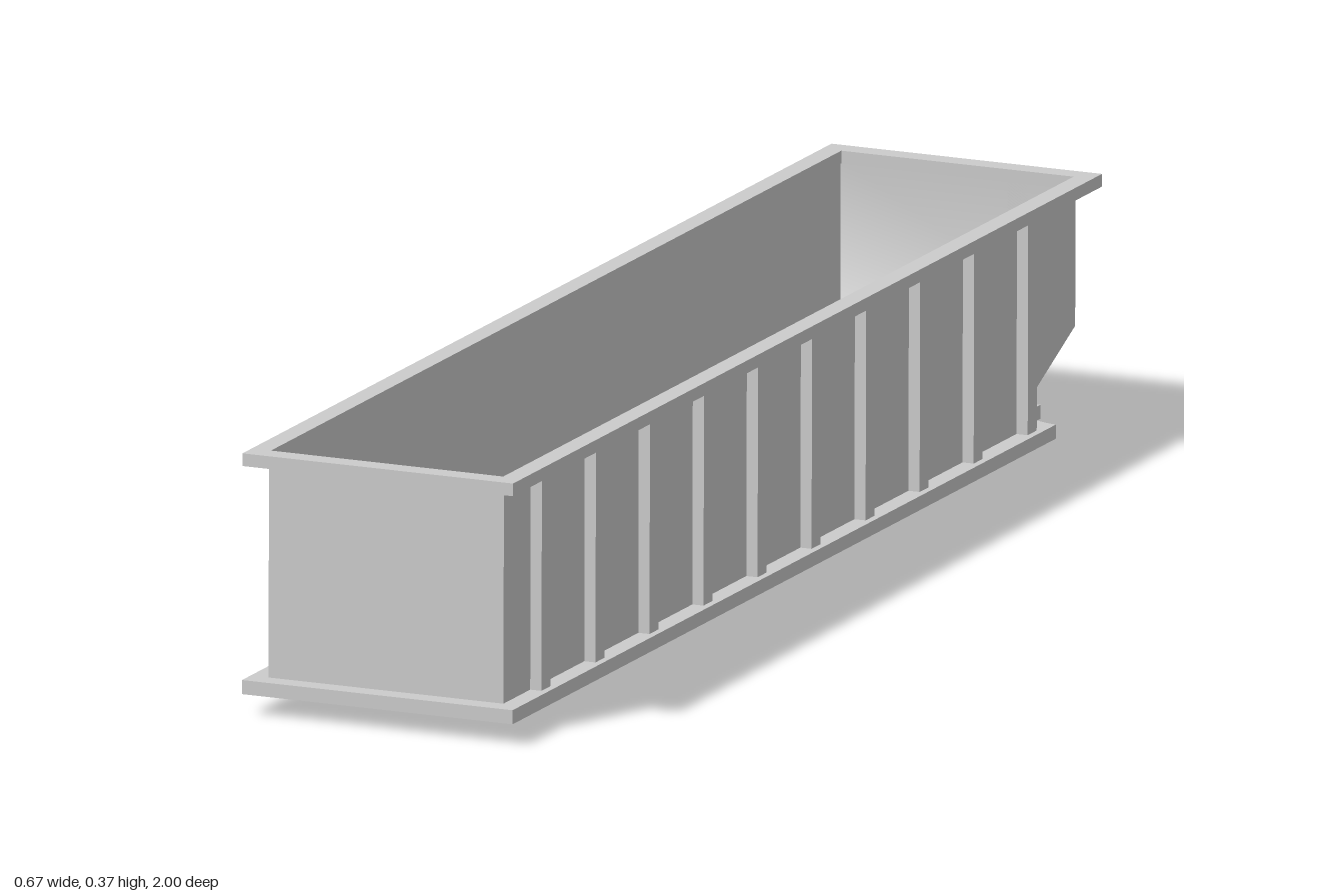
import * as THREE from 'three';

const grey = new THREE.MeshStandardMaterial({ color: 0xcccccc });
const sheet = new THREE.MeshStandardMaterial({ color: 0xcccccc, side: THREE.DoubleSide });

const HULL_X = 0.178, HULL_Z = 0.95;   // half sizes of the tub
const FLOOR = 0.045, WALL_TOP = 0.355, RIM_BOTTOM = 0.349;

export function createModel() {
  const group = new THREE.Group();
  const body = new THREE.Group();
  body.name = 'container';

  const add = (name, geometry, material = grey) => {
    const mesh = new THREE.Mesh(geometry, material);
    mesh.name = name;
    body.add(mesh);
    return mesh;
  };

  // box given by its lower and upper limits
  const box = (name, x0, x1, y0, y1, z0, z1) =>
    add(name, new THREE.BoxGeometry(x1 - x0, y1 - y0, z1 - z0))
      .position.set((x0 + x1) / 2, (y0 + y1) / 2, (z0 + z1) / 2);

  // horizontal plate from a plan outline (shape y = -z)
  const plate = (name, shape, y, height) => {
    const geo = new THREE.ExtrudeGeometry(shape, { depth: height, bevelEnabled: false, curveSegments: 12 });
    add(name, geo.rotateX(-Math.PI / 2)).position.y = y;
  };

  // sheet spanning the tub's width along a [z, y] profile
  const strip = (name, profile) => {
    const positions = [], index = [];
    profile.forEach(([z, y], i) => {
      positions.push(-HULL_X, y, z, HULL_X, y, z);
      if (i) {
        const a = 2 * i - 2;
        index.push(a, a + 1, a + 2, a + 1, a + 3, a + 2);
      }
    });
    const geo = new THREE.BufferGeometry();
    geo.setAttribute('position', new THREE.Float32BufferAttribute(positions, 3));
    geo.setIndex(index);
    geo.computeVertexNormals();
    add(name, geo, sheet);
  };

  // tub: front wall, floor, and smooth raised back end
  const tail = [[-0.81, FLOOR], [-0.81, 0.09], [-HULL_Z, 0.155], [-HULL_Z, WALL_TOP]];
  strip('frontWall', [[HULL_Z, WALL_TOP], [HULL_Z, FLOOR]]);
  strip('floor', [[HULL_Z, FLOOR + 0.002], [-0.81, FLOOR + 0.002]]);
  strip('backWall', tail);

  // side walls follow the same profile
  const side = new THREE.Shape(
    [[HULL_Z, WALL_TOP], [HULL_Z, FLOOR], ...tail].map(([z, y]) => new THREE.Vector2(z, y)));
  const sideGeo = new THREE.ShapeGeometry(side).rotateY(-Math.PI / 2);

  for (const s of [-1, 1]) {
    add(s > 0 ? 'leftWall' : 'rightWall', sideGeo, sheet).position.x = s * HULL_X;

    // vertical ribs
    for (let i = 0; i < 10; i++) {
      const z = 0.846 - i * 0.1796;
      const xs = [s * HULL_X, s * 0.195].sort((a, b) => a - b);
      box('rib', xs[0], xs[1], FLOOR, RIM_BOTTOM, z - 0.015, z + 0.015);
    }

    // skid rail underneath and post at the back
    const x = s * 0.09;
    box('skidRail', x - 0.015, x + 0.015, 0.005, 0.025, -0.995, -0.63);
    box('backPost', x - 0.015, x + 0.015, FLOOR, RIM_BOTTOM, -0.975, -HULL_Z);
  }

  // top rim with opening
  const rect = (Type, x, z) => new Type([[-x, -z], [x, -z], [x, z], [-x, z]]
    .map(([a, b]) => new THREE.Vector2(a, b)));
  const rim = rect(THREE.Shape, 0.205, 0.979);
  rim.holes.push(rect(THREE.Path, 0.176, 0.948));
  plate('topRim', rim, RIM_BOTTOM, 0.018);

  // base plate with scooped tail carrying the posts
  const base = new THREE.Shape();
  base.moveTo(-0.205, -0.979);
  base.lineTo(0.205, -0.979);
  base.lineTo(0.205, 0.827);
  base.quadraticCurveTo(0.12, 0.84, 0.105, 0.975);
  base.lineTo(0.075, 0.975);
  base.bezierCurveTo(0.06, 0.83, -0.06, 0.83, -0.075, 0.975);
  base.lineTo(-0.105, 0.975);
  base.quadraticCurveTo(-0.12, 0.84, -0.205, 0.827);
  base.closePath();
  plate('basePlate', base, 0.025, 0.02);

  // the container sits turned, with its front slightly raised
  body.rotation.set(-0.0051, -0.136, 0, 'YXZ');
  group.add(body);
  return group;
}
